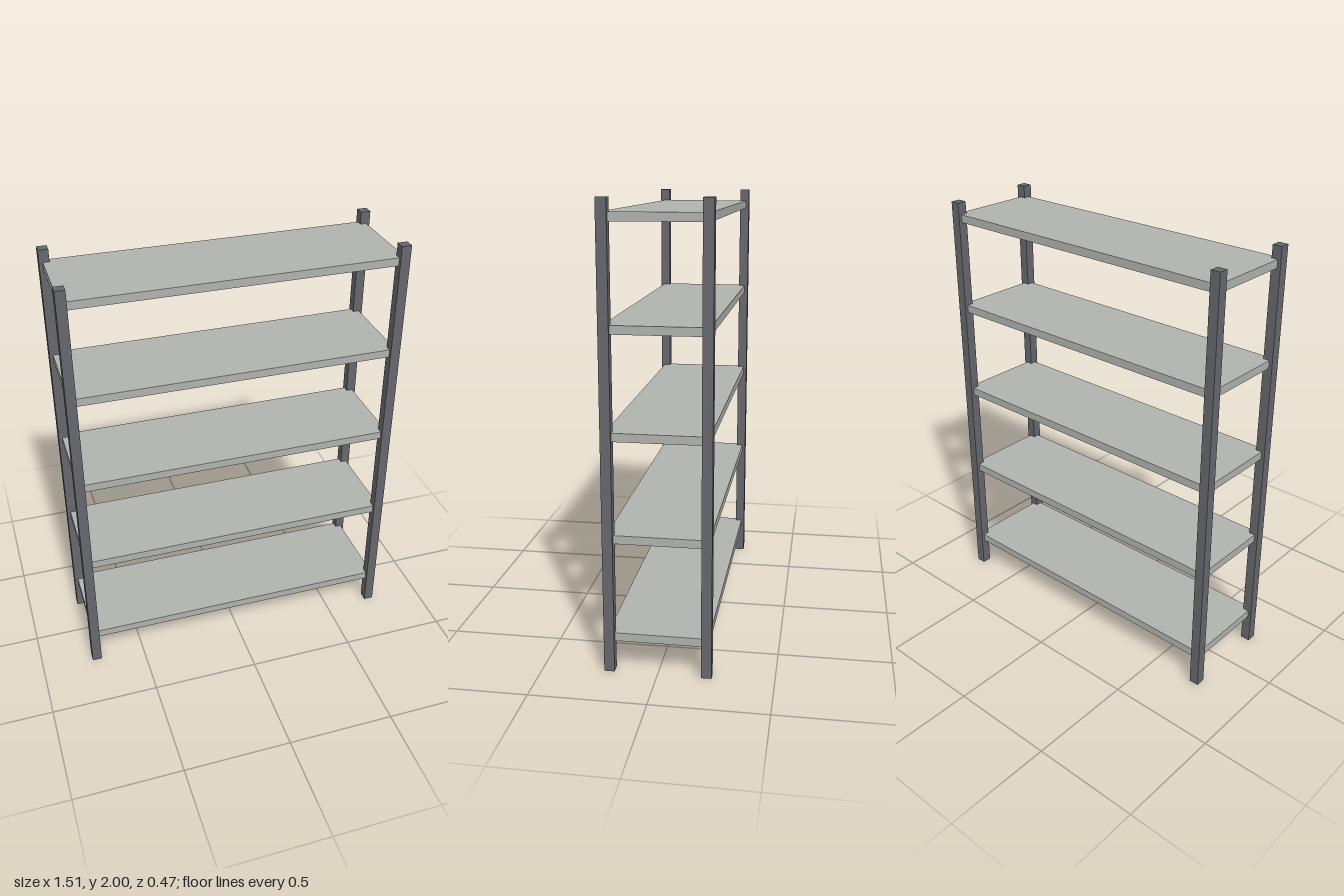
import * as THREE from 'three';

export function createModel() {
  const model = new THREE.Group();
  model.name = 'shelvingUnit';

  const postMaterial = new THREE.MeshStandardMaterial({ color: 0x66676d });
  const shelfMaterial = new THREE.MeshStandardMaterial({ color: 0xb0b2ae });

  function addBox(name, size, position, material) {
    const mesh = new THREE.Mesh(new THREE.BoxGeometry(...size), material);
    mesh.name = name;
    mesh.position.set(...position);
    model.add(mesh);
  }

  // Four square corner posts
  for (const x of [-1, 1]) {
    for (const z of [-1, 1]) {
      const name = (z > 0 ? 'front' : 'back') + (x > 0 ? 'Left' : 'Right') + 'Post';
      addBox(name, [0.045, 2, 0.045], [x * 0.735, 1, z * 0.21], postMaterial);
    }
  }

  // Five evenly spaced shelves, let into the posts
  for (let i = 0; i < 5; i++) {
    addBox('shelf' + (i + 1), [1.483, 0.037, 0.435], [0, 0.155 + i * 0.4425, 0], shelfMaterial);
  }

  return model;
}
